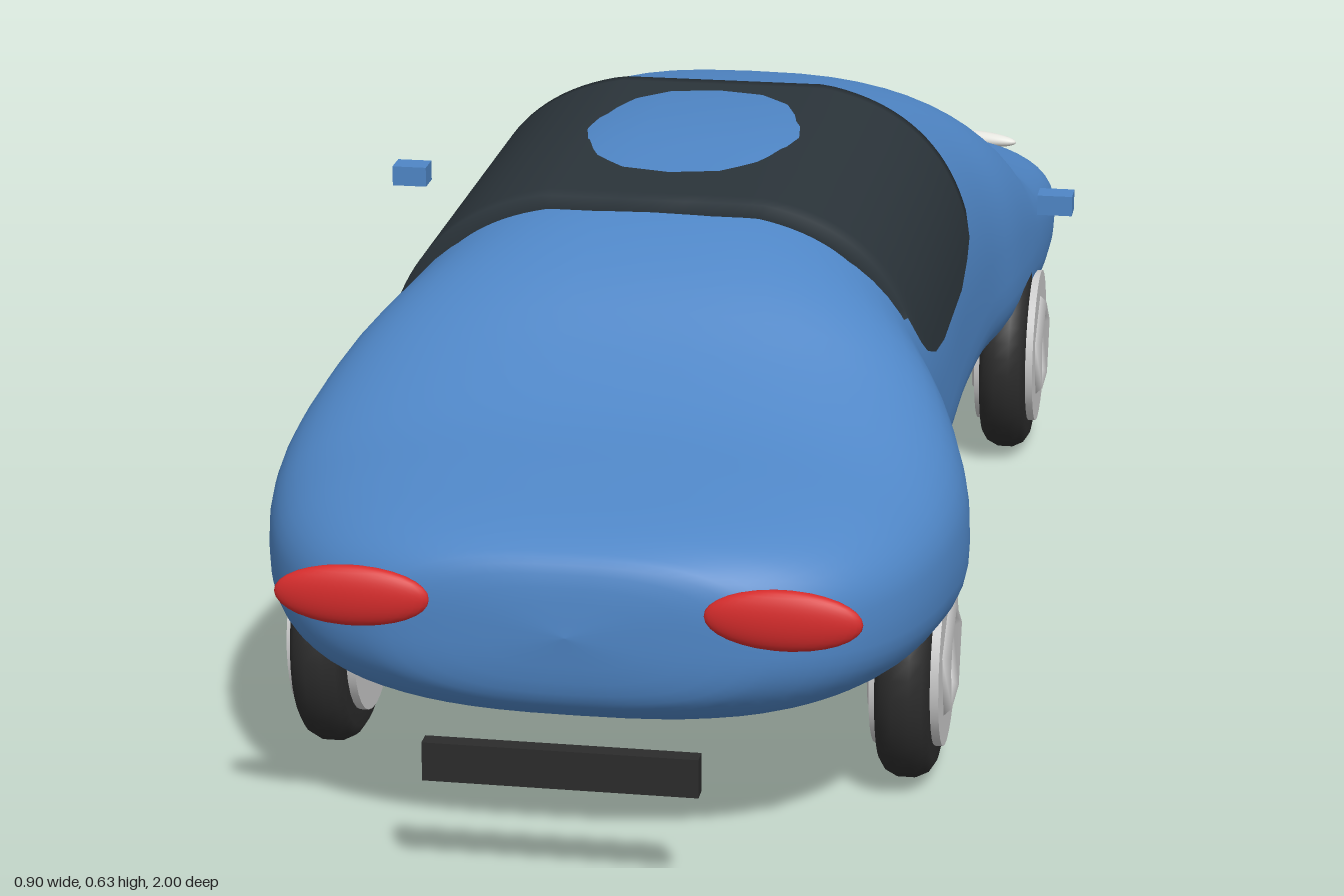
import * as THREE from 'three';

const paint = (color, side = THREE.FrontSide) => new THREE.MeshStandardMaterial({ color, side });
const blue = paint(0x4f86c6), glass = paint(0x2b343a, THREE.DoubleSide), rubber = paint(0x2c2c2c);
const red = paint(0xd62c2c), lamp = paint(0xe6e6e0), metal = paint(0xcccccc);

// Body stations: z, bottom, top, half width
const STATIONS = [
  [0.965, 0.29, 0.29, 0], [0.955, 0.22, 0.36, 0.17], [0.93, 0.19, 0.385, 0.25], [0.88, 0.165, 0.405, 0.315],
  [0.8, 0.148, 0.425, 0.365], [0.7, 0.137, 0.45, 0.395], [0.6, 0.132, 0.5, 0.403], [0.5, 0.13, 0.565, 0.38],
  [0.4, 0.13, 0.605, 0.34], [0.28, 0.13, 0.62, 0.33], [0.1, 0.13, 0.63, 0.33], [-0.1, 0.13, 0.62, 0.33],
  [-0.3, 0.13, 0.59, 0.34], [-0.42, 0.13, 0.56, 0.36], [-0.5, 0.13, 0.52, 0.37], [-0.56, 0.13, 0.465, 0.376],
  [-0.63, 0.13, 0.425, 0.38], [-0.77, 0.134, 0.385, 0.378], [-0.88, 0.14, 0.362, 0.37],
  [-0.945, 0.148, 0.348, 0.35], [-0.972, 0.16, 0.335, 0.31], [-0.978, 0.19, 0.3, 0.25], [-0.978, 0.245, 0.245, 0],
];

// Skins a list of equal-length rows of [x, y, z] running towards -z
function skin(rows, closed) {
  const n = rows[0].length, index = [];
  for (let i = 0; i < rows.length - 1; i++) {
    for (let j = 0; j < (closed ? n : n - 1); j++) {
      const k = (j + 1) % n, a = i * n + j, b = i * n + k, c = a + n, d = b + n;
      index.push(a, c, b, b, c, d);
    }
  }
  const g = new THREE.BufferGeometry();
  g.setAttribute('position', new THREE.Float32BufferAttribute(rows.flat(2), 3));
  g.setIndex(index);
  g.computeVertexNormals();
  return g;
}

// Point on a squared-off ellipse
const sePow = (v, n) => Math.sign(v) * Math.abs(v) ** (2 / n);

function bodyGeometry() {
  const curve = f => new THREE.CatmullRomCurve3(STATIONS.map(f), false, 'catmullrom', 0.5);
  const heights = curve(s => new THREE.Vector3(s[0], s[1], s[2]));
  const widths = curve(s => new THREE.Vector3(s[3], 0, 0));
  const rows = [], steps = (STATIONS.length - 1) * 4, around = 64;
  for (let i = 0; i <= steps; i++) {
    const { x: z, y: low, z: high } = heights.getPoint(i / steps);
    const w = Math.max(0, widths.getPoint(i / steps).x);
    const mid = low + 0.5 * (Math.min(high, 0.45) - low);
    rows.push(Array.from({ length: around }, (_, j) => {
      const a = j / around * Math.PI * 2, s = sePow(Math.sin(a), 2.7);
      return [w * sePow(Math.cos(a), 2.7), mid + s * (s > 0 ? high - mid : mid - low), z];
    }));
  }
  return skin(rows, true);
}

// Wrap-around window band: flat on top so the roof rises through it
function canopyGeometry() {
  const edge = [[0.4, 0.49, 0.95], [0.4, 0.49, 1], [0.37, 0.45, 1], [0.34, 0.43, 1], [0.28, 0.41, 1], [0.2, 0.4, 1],
    [0, 0.4, 1], [-0.08, 0.415, 1], [-0.13, 0.43, 1], [-0.15, 0.46, 1], [-0.15, 0.46, 0.95]];
  const mid = 0.29, h = 0.338, w = 0.332, n = 2.9, count = 48;
  return skin(edge.map(([z, low, k]) => {
    const start = Math.asin(((low - mid) / h) ** (n / 2));
    return Array.from({ length: count + 1 }, (_, j) => {
      const a = start + (Math.PI - 2 * start) * j / count;
      const y = Math.min(0.62, mid + h * sePow(Math.sin(a), n));
      return [k * w * sePow(Math.cos(a), n), mid + k * (y - mid), z];
    });
  }), false);
}

function add(parent, name, geometry, material, x = 0, y = 0, z = 0) {
  const mesh = new THREE.Mesh(geometry, material);
  mesh.name = name;
  mesh.position.set(x, y, z);
  parent.add(mesh);
  return mesh;
}

// Wheel with its axle along x
function wheel(name) {
  const g = new THREE.Group();
  g.name = name;
  const profile = [[0.1, -0.03], [0.125, -0.031], [0.136, -0.024], [0.143, -0.01], [0.143, 0.01],
    [0.136, 0.024], [0.125, 0.031], [0.1, 0.03]].map(p => new THREE.Vector2(...p));
  add(g, 'tyre', new THREE.LatheGeometry(profile, 40).rotateZ(-Math.PI / 2), rubber);
  add(g, 'rim', new THREE.CylinderGeometry(0.105, 0.105, 0.08, 32).rotateZ(Math.PI / 2), metal);
  for (const s of [-1, 1]) {
    // Five-sided raised ring on each face
    const ring = new THREE.TorusGeometry(0.063, 0.009, 4, 5).rotateY(Math.PI / 2);
    add(g, 'hubRing', ring, metal, s * 0.04).rotation.x = 0.3;
  }
  return g;
}

export function createModel() {
  const car = new THREE.Group();
  car.name = 'car';
  add(car, 'body', bodyGeometry(), blue);
  add(car, 'windows', canopyGeometry(), glass);

  for (const s of [-1, 1]) {
    const side = s > 0 ? 'left' : 'right';
    for (const [end, z] of [['front', 0.595], ['rear', -0.56]]) {
      const w = wheel(`${side}${end === 'front' ? 'Front' : 'Rear'}Wheel`);
      w.position.set(s * 0.34, 0.146, z);
      car.add(w);
    }
    add(car, `${side}RedLight`, new THREE.SphereGeometry(1, 32, 16).scale(0.087, 0.035, 0.016), red,
      s * 0.238, 0.322, 0.955);
    add(car, `${side}WhiteLight`, new THREE.SphereGeometry(1, 32, 16).scale(0.062, 0.011, 0.014), lamp,
      s * 0.248, 0.332, -0.946).rotation.y = -s * 0.24;
    add(car, `${side}Mirror`, new THREE.BoxGeometry(0.045, 0.026, 0.035), blue, s * 0.427, 0.461, -0.202);
  }

  // Plain plates at both ends
  add(car, 'frontPlate', new THREE.BoxGeometry(0.306, 0.045, 0.02), rubber, 0, 0.15, 0.99);
  add(car, 'rearPlate', new THREE.BoxGeometry(0.29, 0.04, 0.025), rubber, 0, 0.195, -0.988);
  return car;
}
